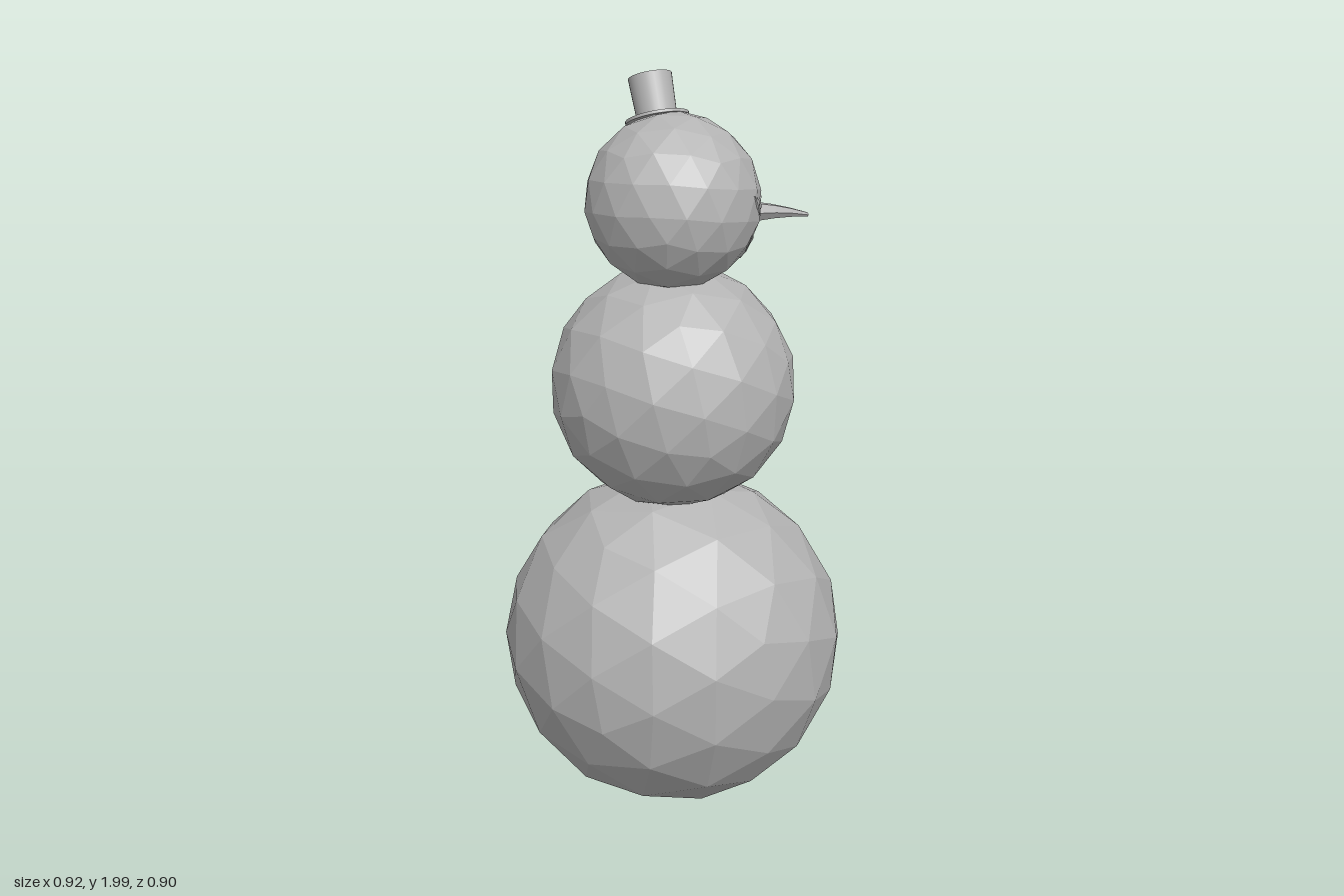
import * as THREE from 'three';

const HEAD_Y = 1.68, HEAD_R = 0.225;

export function createModel() {
  const group = new THREE.Group();
  const grey = new THREE.MeshStandardMaterial({ color: 0xb4b4b4 });
  grey.name = 'plain grey';

  function add(name, geometry, parent = group) {
    const mesh = new THREE.Mesh(geometry, grey);
    mesh.name = name;
    parent.add(mesh);
    return mesh;
  }
  // Splits shared corners and gives every face its own normal
  function faceted(geometry) {
    const flat = geometry.index ? geometry.toNonIndexed() : geometry;
    flat.computeVertexNormals();
    return flat;
  }

  // Three faceted snowballs, each turned differently
  const balls = [
    ['bottomBall', 0.46, 0.46, [0.25, 0.2, 0.1]],
    ['middleBall', 0.325, 1.185, [0.5, 0.9, 0.3]],
    ['head', HEAD_R + 0.003, HEAD_Y, [0.1, 0.5, 0.4]],
  ];
  for (const [name, r, y, turn] of balls) {
    const geometry = new THREE.IcosahedronGeometry(r, 2);
    geometry.rotateX(turn[0]).rotateY(turn[1]).rotateZ(turn[2]);
    add(name, faceted(geometry)).position.y = y;
  }

  // Top hat, tipped towards the back of the head
  const hat = new THREE.Group();
  hat.name = 'hat';
  hat.position.set(-0.004, HEAD_Y, 0);
  hat.rotation.x = -0.45;
  group.add(hat);
  add('hatBrim', new THREE.CylinderGeometry(0.083, 0.083, 0.008, 32), hat).position.y = 0.216;
  add('hatCrown', new THREE.CylinderGeometry(0.057, 0.052, 0.116, 32), hat).position.y = 0.27;

  // Carrot nose: a six-sided cone bent down towards the tip
  const nose = new THREE.CylinderGeometry(0.006, 0.033, 0.2, 6, 4);
  nose.rotateZ(-Math.PI / 2);
  const p = nose.attributes.position;
  for (let i = 0; i < p.count; i++) {
    const t = p.getX(i) / 0.2 + 0.5;
    p.setY(i, p.getY(i) - 0.025 * t * t);
  }
  add('nose', faceted(nose)).position.set(0.285, 1.632, 0);

  // Thin carved outline wrapped over the face; points are [z, y from head centre]
  function facePlate(name, points) {
    const shape = new THREE.Shape(points.map(([z, y]) => new THREE.Vector2(-z, y)));
    const geometry = new THREE.ExtrudeGeometry(shape, { depth: 0.009, bevelEnabled: false });
    const q = geometry.attributes.position;
    for (let i = 0; i < q.count; i++) {
      const z = -q.getX(i), y = q.getY(i);
      const x = Math.sqrt(HEAD_R * HEAD_R - y * y - z * z) - 0.007 + q.getZ(i);
      q.setXYZ(i, x, y, z);
    }
    add(name, faceted(geometry)).position.y = HEAD_Y;
  }

  // Slanted eyes and round pupils
  const eye = [[0.16, 0.033], [0.135, 0.012], [0.1, 0.014], [0.07, 0.01], [0.04, -0.012],
    [0.036, -0.036], [0.07, -0.044], [0.1, -0.036], [0.13, -0.022], [0.145, 0]];
  for (const side of [1, -1]) {
    const label = side > 0 ? 'front' : 'back';
    facePlate(label + 'Eye', eye.map(([z, y]) => [z * side, y]));
    const pupil = add(label + 'Pupil', new THREE.SphereGeometry(0.011, 12, 8));
    pupil.position.set(0.208, HEAD_Y - 0.018, 0.066 * side);
  }

  // Jagged grin
  const upper = [[0, -0.125], [0.025, -0.112], [0.045, -0.122], [0.07, -0.104], [0.09, -0.11], [0.115, -0.088]];
  const lower = [[0.142, -0.07], [0.125, -0.115], [0.105, -0.118], [0.095, -0.142], [0.07, -0.134],
    [0.052, -0.156], [0.025, -0.146], [0, -0.16]];
  const half = [...upper, ...lower];
  const mirrored = half.slice(1, -1).reverse().map(([z, y]) => [-z, y]);
  facePlate('mouth', [...half, ...mirrored]);

  return group;
}
